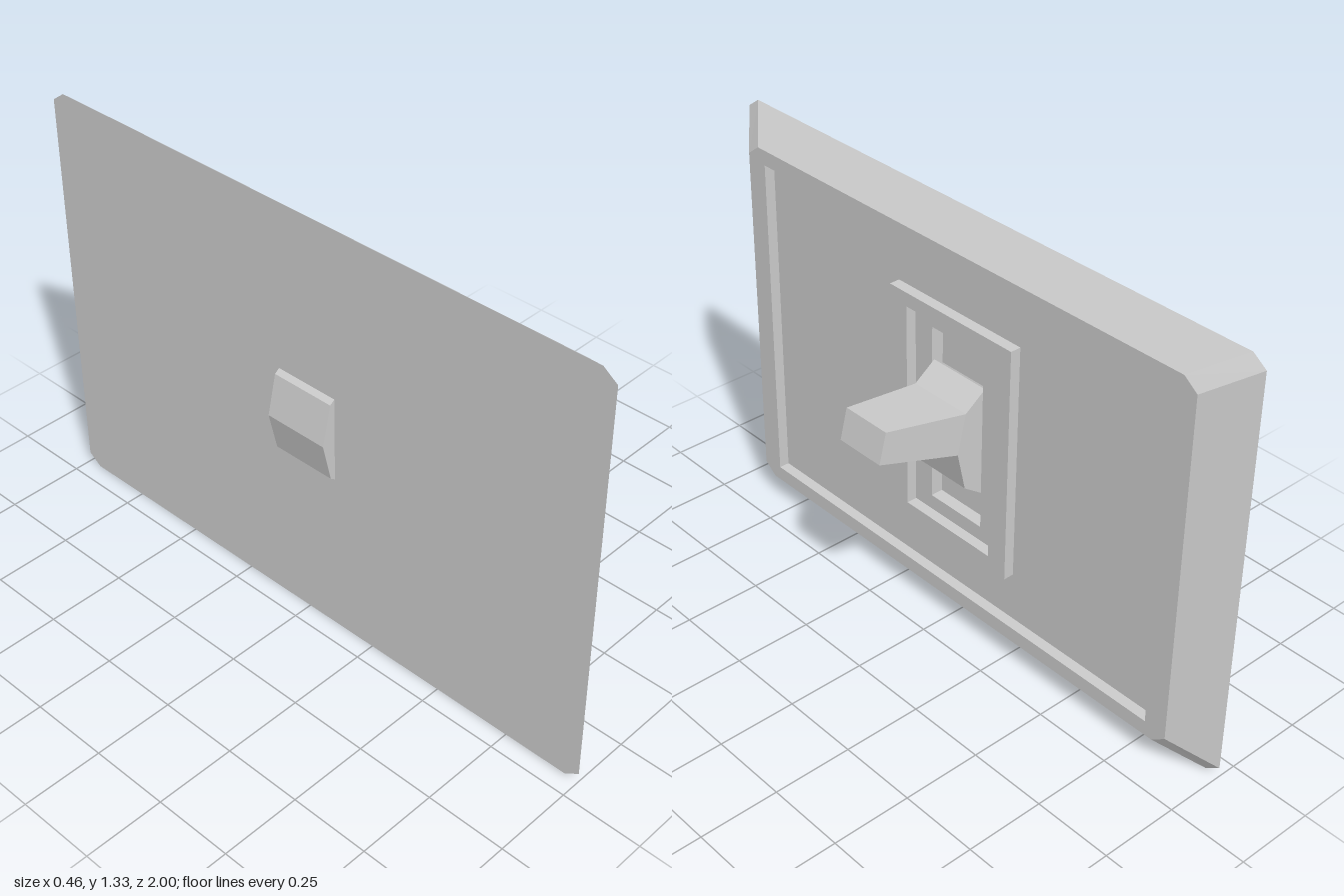
import * as THREE from 'three';
import { ConvexGeometry } from 'three/addons/geometries/ConvexGeometry.js';

const MID = 0.667; // height of the plate's centre line
const material = new THREE.MeshStandardMaterial({ color: 0xcccccc, flatShading: true });

// Outlines are counter-clockwise when looking at the plate's face (+x side).
const rect = (w, h) => [[-w, -h], [w, -h], [w, h], [-w, h]];
const octagon = (w, h, cw, ch) => [
  [-w + cw, -h], [w - cw, -h], [w, -h + ch], [w, h - ch],
  [w - cw, h], [-w + cw, h], [-w, h - ch], [-w, -h + ch],
];

function addMesh(group, name, geometry) {
  const mesh = new THREE.Mesh(geometry, material);
  mesh.name = name;
  group.add(mesh);
}

// Flat face at depth x, with an optional hole, facing +x (or -x when back is set)
function face(outline, hole, x, back = false) {
  const toPoints = (pts) => pts.map(([u, v]) => new THREE.Vector2(u, v));
  const shape = new THREE.Shape(toPoints(outline));
  if (hole) shape.holes.push(new THREE.Path(toPoints(hole)));
  return new THREE.ShapeGeometry(shape)
    .rotateY(back ? -Math.PI / 2 : Math.PI / 2)
    .translate(x, MID, 0);
}

// Band of quads from outline a at depth xa to outline b at depth xb
function wall(a, xa, b, xb) {
  const positions = [];
  const at = ([u, v], x) => [x, v + MID, -u];
  for (let i = 0; i < a.length; i++) {
    const j = (i + 1) % a.length;
    const [p, q, r, s] = [at(a[i], xa), at(a[j], xa), at(b[j], xb), at(b[i], xb)];
    positions.push(...p, ...q, ...r, ...p, ...r, ...s);
  }
  const geometry = new THREE.BufferGeometry();
  geometry.setAttribute('position', new THREE.Float32BufferAttribute(positions, 3));
  geometry.computeVertexNormals();
  return geometry;
}

export function createModel() {
  const model = new THREE.Group();
  model.name = 'wallSwitch';

  // Depths
  const back = -0.188, front = -0.091, floor = -0.125, slotFloor = -0.165;

  // Outlines from the outside inwards
  const outer = octagon(1, 0.667, 0.045, 0.032);
  const rim = octagon(0.88, 0.586, 0.045, 0.034);
  const recess = rect(0.806, 0.538);
  const frameOuter = rect(0.245, 0.38);
  const frameInner = rect(0.175, 0.336);
  const slot = rect(0.105, 0.288);

  // Bevelled cover plate with a sunken panel
  const plate = new THREE.Group();
  plate.name = 'coverPlate';
  addMesh(plate, 'plateBack', face(outer, null, back, true));
  addMesh(plate, 'plateBevel', wall(outer, back, rim, front));
  addMesh(plate, 'plateRim', face(rim, recess, front));
  addMesh(plate, 'recessWall', wall(recess, front, recess, floor));
  addMesh(plate, 'recessPanel', face(recess, frameOuter, floor));
  model.add(plate);

  // Raised frame around the switch, with the slot inside
  const frame = new THREE.Group();
  frame.name = 'switchFrame';
  addMesh(frame, 'frameOuterWall', wall(frameOuter, floor, frameOuter, front));
  addMesh(frame, 'frameFace', face(frameOuter, frameInner, front));
  addMesh(frame, 'frameInnerWall', wall(frameInner, front, frameInner, floor));
  addMesh(frame, 'framePanel', face(frameInner, slot, floor));
  addMesh(frame, 'slotWall', wall(slot, floor, slot, slotFloor));
  addMesh(frame, 'slotFloor', face(slot, null, slotFloor));
  model.add(frame);

  // Eight-sided pivot barrel that runs through the plate
  const toggle = new THREE.Group();
  toggle.name = 'toggle';
  const barrel = new THREE.Shape([
    [-0.034, 0.67], [-0.062, 0.795], [-0.133, 0.846], [-0.204, 0.795],
    [-0.233, 0.67], [-0.204, 0.545], [-0.133, 0.494], [-0.062, 0.545],
  ].map(([x, y]) => new THREE.Vector2(x, y)));
  addMesh(toggle, 'pivotBarrel',
    new THREE.ExtrudeGeometry(barrel, { depth: 0.21, bevelEnabled: false }).translate(0, 0, -0.105));

  // Lever tapering towards its tip
  const corners = [];
  for (const side of [-1, 1]) {
    for (const [x, y, z] of [
      [-0.062, 0.795, 0.105], [-0.034, 0.67, 0.105], [0.206, 0.841, 0.082], [0.23, 0.746, 0.082],
    ]) corners.push(new THREE.Vector3(x, y, z * side));
  }
  addMesh(toggle, 'lever', new ConvexGeometry(corners));
  model.add(toggle);

  return model;
}
